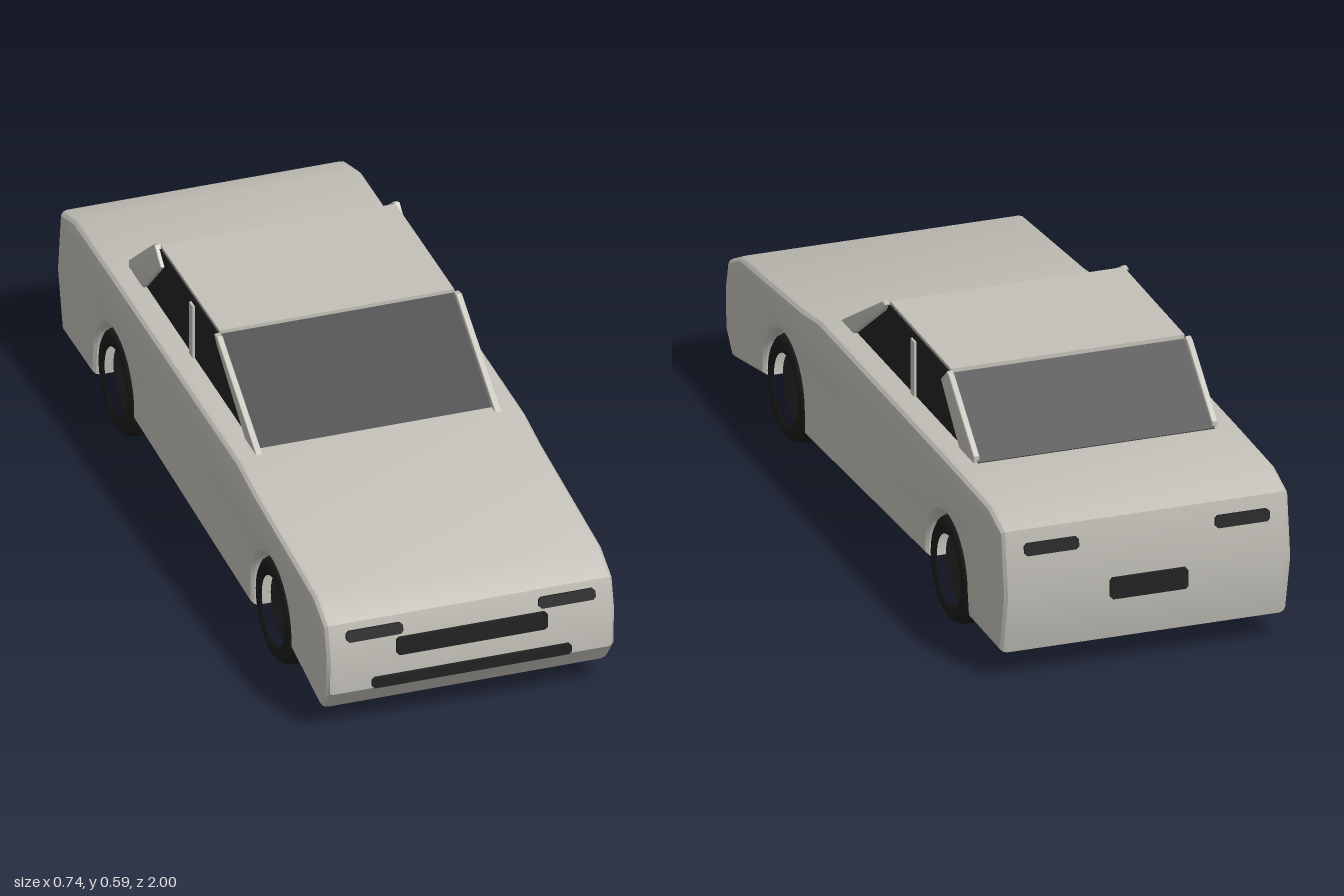
import * as THREE from 'three';
import { toCreasedNormals } from 'three/addons/utils/BufferGeometryUtils.js';

const material = (name, color) => {
  const m = new THREE.MeshStandardMaterial({ color });
  m.name = name;
  return m;
};

// Side outline drawn as (z, y), extruded across x and centred
function sideExtrude(shape, width, bevel) {
  const geo = new THREE.ExtrudeGeometry(shape, {
    depth: width - 2 * bevel, curveSegments: 12, bevelEnabled: bevel > 0,
    bevelSize: bevel, bevelThickness: bevel, bevelOffset: -bevel, bevelSegments: 3,
  });
  geo.translate(0, 0, -(width - 2 * bevel) / 2).rotateY(-Math.PI / 2);
  return toCreasedNormals(geo, 0.5);
}

const outline = (points) => new THREE.Shape(points.map(([z, y]) => new THREE.Vector2(z, y)));

function roundedPlate(w, h, depth) {
  const c = 0.007, x = w / 2, y = h / 2;
  const shape = outline([[-x + c, -y], [x - c, -y], [x, -y + c], [x, y - c],
    [x - c, y], [-x + c, y], [-x, y - c], [-x, -y + c]]);
  return new THREE.ExtrudeGeometry(shape, { depth, bevelEnabled: false }).translate(0, 0, -depth / 2);
}

export function createModel() {
  const paint = material('body paint', 0xc2c0b8);
  const dark = material('dark glass and trim', 0x222222);
  const rubber = material('tyre rubber', 0x1b1b1b);
  const hubColor = material('hub', 0x262626);
  const car = new THREE.Group();
  car.name = 'car';

  const add = (name, geo, mat, x = 0, y = 0, z = 0) => {
    const mesh = new THREE.Mesh(geo, mat);
    mesh.name = name;
    mesh.position.set(x, y, z);
    car.add(mesh);
    return mesh;
  };

  // Body with wheel arches cut through its full width
  const axles = [-0.575, 0.575];
  const body = new THREE.Shape();
  body.moveTo(-0.955, 0.075);
  body.lineTo(-0.725, 0.075);
  body.absarc(axles[0], 0.14, 0.14, Math.PI, -0.18, true);
  body.lineTo(0.435, 0.075);
  body.absarc(axles[1], 0.14, 0.14, Math.PI, -0.18, true);
  [[0.94, 0.07], [0.988, 0.13], [0.993, 0.235], [0.973, 0.315], [0.89, 0.357], [0.45, 0.4],
    [0.33, 0.42], [-0.6, 0.43], [-0.87, 0.43], [-0.97, 0.4], [-0.993, 0.23]]
    .forEach(([z, y]) => body.lineTo(z, y));
  body.closePath();
  add('body', sideExtrude(body, 0.74, 0.02), paint);

  // Cabin glass and roof panel
  const cabin = outline([[0.305, 0.41], [-0.63, 0.41], [-0.625, 0.432], [-0.42, 0.587], [0.005, 0.587]].reverse());
  add('cabinGlass', sideExtrude(cabin, 0.608, 0), dark);
  add('roof', new THREE.BoxGeometry(0.6, 0.014, 0.43), paint, 0, 0.588, -0.208);

  // Window pillars, mirrored left and right
  const frontPillar = outline([[0.33, 0.412], [0.025, 0.591], [0.005, 0.588], [0.02, 0.568], [0.24, 0.412]]);
  const rearPillar = outline([[-0.53, 0.412], [-0.385, 0.556], [-0.43, 0.594], [-0.445, 0.588], [-0.62, 0.447], [-0.62, 0.412]]);
  for (const side of [-1, 1]) {
    add('frontPillar', sideExtrude(frontPillar, 0.016, 0.004), paint, side * 0.306);
    add('rearPillar', sideExtrude(rearPillar, 0.016, 0.004), paint, side * 0.306);
    add('middlePillar', new THREE.BoxGeometry(0.012, 0.15, 0.026), paint, side * 0.304, 0.495, -0.175);
  }

  // Wheels: open tyre ring around a recessed hub
  const tyreProfile = [[0.088, -0.04], [0.1, -0.047], [0.118, -0.045], [0.13, -0.036], [0.136, -0.018],
    [0.136, 0.018], [0.13, 0.036], [0.118, 0.045], [0.1, 0.047], [0.088, 0.04]]
    .map(([r, y]) => new THREE.Vector2(r, y));
  const tyreGeo = new THREE.LatheGeometry(tyreProfile, 32).rotateZ(Math.PI / 2);
  const hubGeo = new THREE.CylinderGeometry(0.087, 0.087, 0.035, 32).rotateZ(Math.PI / 2);
  for (const z of axles) {
    for (const side of [-1, 1]) {
      add('tyre', tyreGeo, rubber, side * 0.32, 0.138, z);
      add('hub', hubGeo, hubColor, side * 0.32, 0.138, z);
    }
  }

  // Thin trim plates, tilted to follow the nose and tail
  const plate = (name, w, h, x, y, z, tilt) => {
    const mesh = add(name, roundedPlate(w, h, 0.0095), dark, x, y, z);
    mesh.rotation.set(tilt, z < 0 ? Math.PI : 0, 0);
  };
  for (const side of [-1, 1]) {
    plate('headlight', 0.145, 0.029, side * 0.246, 0.283, 0.984, -0.245);
    plate('tailLight', 0.14, 0.032, side * 0.245, 0.35, -0.979, 0.134);
  }
  plate('grille', 0.386, 0.047, 0, 0.239, 0.995, 0);
  plate('lowerIntake', 0.51, 0.029, 0, 0.147, 0.992, 0.045);
  plate('rearPlate', 0.2, 0.055, 0, 0.222, -0.995, 0);

  return car;
}
